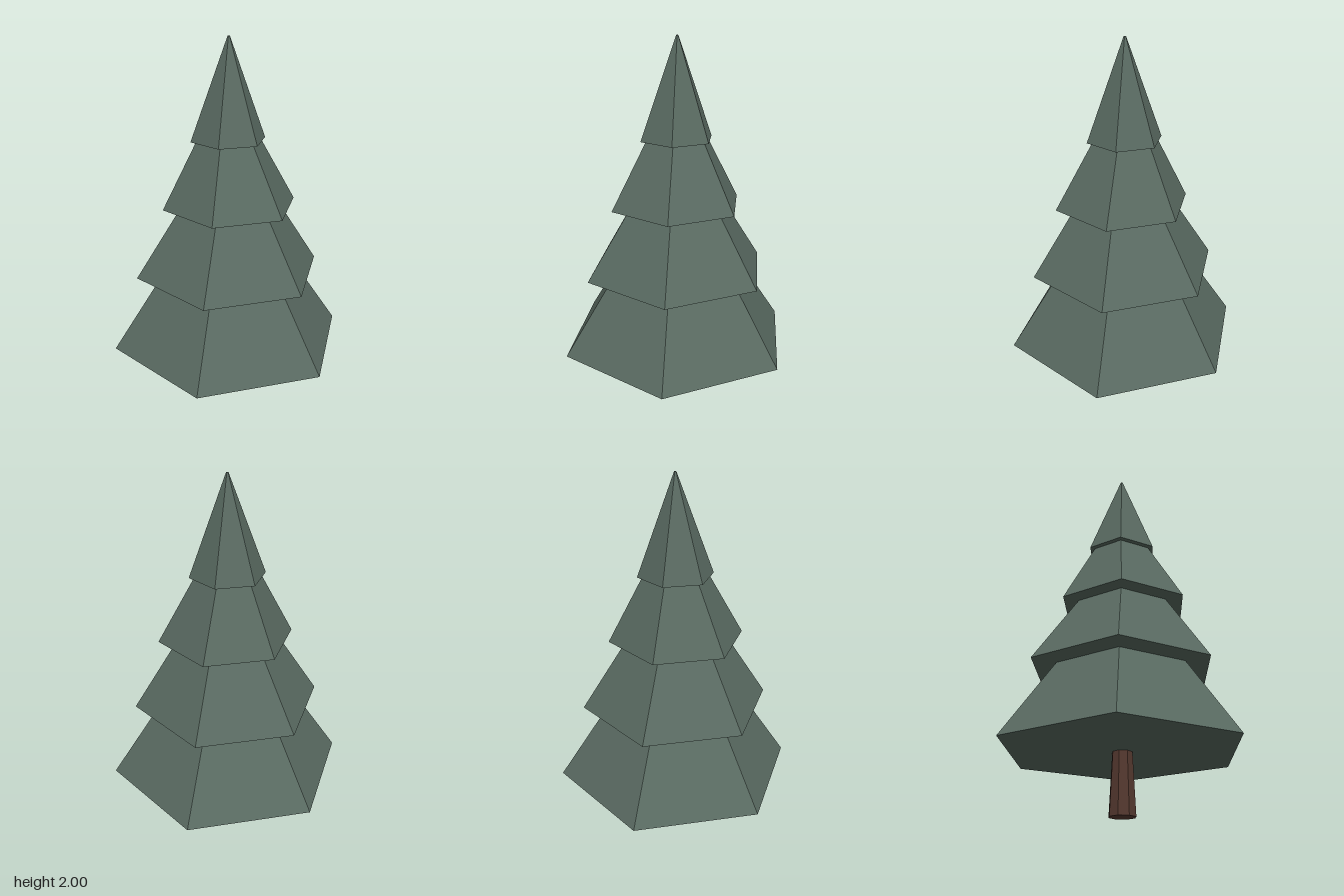
import * as THREE from 'three';

// Splits shared corners so that every facet gets its own flat normal.
function faceted(geometry) {
  const flat = geometry.toNonIndexed();
  flat.computeVertexNormals();
  return flat;
}

export function createModel() {
  const needleGreen = new THREE.MeshStandardMaterial({ name: 'needleGreen', color: 0x596a61 });
  const barkBrown = new THREE.MeshStandardMaterial({ name: 'barkBrown', color: 0x55392f });

  const tree = new THREE.Group();
  tree.name = 'pineTree';

  // Stepped tiers: height and radius of the rim, its centre, and the radius
  // to which the tier narrows under the next one.
  const tiers = [
    { y: 0.32, rim: 0.66, neck: 0.378, x: 0, z: 0 },
    { y: 0.74, rim: 0.518, neck: 0.27, x: 0.002, z: 0.002 },
    { y: 1.122, rim: 0.368, neck: 0.174, x: 0.012, z: 0.003 },
    { y: 1.475, rim: 0.203, neck: 0.006, x: 0, z: 0.003 },
  ];
  const topY = 2;

  tiers.forEach((tier, i) => {
    const next = tiers[i + 1] ?? { y: topY, x: 0, z: 0 };
    const innerRadius = i === 0 ? 0 : tiers[i - 1].neck - 0.01;
    // Underside, sloping side, and a cap closing the neck.
    const profile = [
      new THREE.Vector2(innerRadius, tier.y),
      new THREE.Vector2(tier.rim, tier.y),
      new THREE.Vector2(tier.neck, next.y),
    ];
    if (next.y === topY) profile.push(new THREE.Vector2(0, topY));
    const geometry = new THREE.LatheGeometry(profile, 6, Math.PI / 2);

    // Lean each ring to its own centre.
    const p = geometry.attributes.position;
    for (let v = 0; v < p.count; v++) {
      const t = (p.getY(v) - tier.y) / (next.y - tier.y);
      p.setX(v, p.getX(v) + THREE.MathUtils.lerp(tier.x, next.x / 2, t));
      p.setZ(v, p.getZ(v) + THREE.MathUtils.lerp(tier.z, next.z / 2, t));
    }
    const mesh = new THREE.Mesh(faceted(geometry), needleGreen);
    mesh.name = `foliageTier${i + 1}`;
    tree.add(mesh);
  });

  // Tapered eight-sided trunk, ending just inside the foliage.
  const trunk = new THREE.Mesh(faceted(new THREE.CylinderGeometry(0.053, 0.071, 0.33, 8)), barkBrown);
  trunk.name = 'trunk';
  trunk.position.set(0.001, 0.165, 0.004);
  tree.add(trunk);

  return tree;
}
